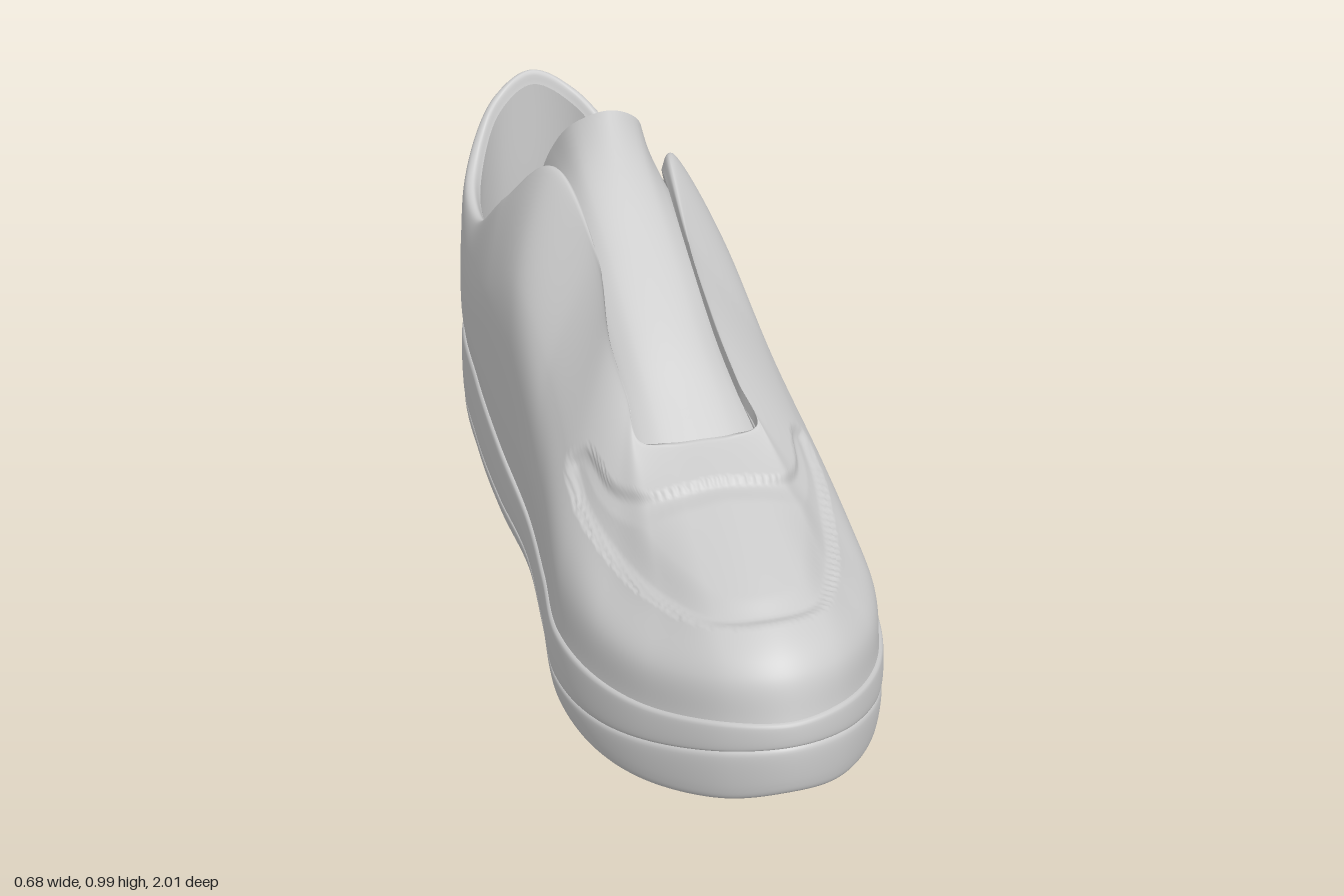
import * as THREE from 'three';

const V3 = THREE.Vector3;
const material = new THREE.MeshStandardMaterial({ color: 0xcccccc, side: THREE.DoubleSide });

// Each row is a ring of stations from heel to toe: [x on right side, x on left side, y, z].
const outlinePlan = [
  [-0.06, -0.06, -1.0], [-0.205, 0.085, -0.94], [-0.292, 0.192, -0.76], [-0.312, 0.235, -0.5],
  [-0.31, 0.268, -0.25], [-0.296, 0.285, 0], [-0.314, 0.315, 0.25], [-0.335, 0.335, 0.47],
  [-0.304, 0.306, 0.66], [-0.232, 0.236, 0.82], [-0.112, 0.115, 0.957], [0, 0, 1.0],
];
const bottomY = [0.05, 0.04, 0.03, 0.02, 0.012, 0.01, 0.004, 0.004, 0.015, 0.042, 0.085, 0.11];
const grooveY = [0.125, 0.12, 0.105, 0.085, 0.075, 0.07, 0.065, 0.078, 0.112, 0.16, 0.215, 0.235];
const topY = [0.3, 0.3, 0.285, 0.26, 0.22, 0.175, 0.18, 0.194, 0.213, 0.24, 0.28, 0.29];

const lowerRow = [
  [-0.06, -0.06, 0.35, -0.997], [-0.203, 0.085, 0.352, -0.939], [-0.291, 0.19, 0.35, -0.757],
  [-0.315, 0.232, 0.36, -0.5], [-0.311, 0.263, 0.37, -0.27], [-0.3, 0.278, 0.36, -0.05],
  [-0.302, 0.306, 0.36, 0.2], [-0.313, 0.315, 0.31, 0.45], [-0.286, 0.288, 0.313, 0.64],
  [-0.222, 0.224, 0.33, 0.795], [-0.108, 0.11, 0.365, 0.925], [0, 0, 0.375, 0.96],
];
const middleRow = [
  [-0.06, -0.06, 0.62, -0.981], [-0.185, 0.07, 0.6, -0.935], [-0.283, 0.175, 0.53, -0.76],
  [-0.31, 0.21, 0.53, -0.53], [-0.306, 0.238, 0.6, -0.3], [-0.278, 0.22, 0.68, -0.14],
  [-0.25, 0.232, 0.57, 0.08], [-0.255, 0.252, 0.455, 0.34], [-0.235, 0.235, 0.4, 0.54],
  [-0.185, 0.185, 0.4, 0.71], [-0.105, 0.105, 0.423, 0.835], [0, 0, 0.435, 0.875],
];
const rimRow = [
  [-0.06, -0.06, 0.855, -0.953], [-0.165, 0.05, 0.8, -0.922], [-0.262, 0.16, 0.663, -0.78],
  [-0.275, 0.178, 0.633, -0.59], [-0.24, 0.158, 0.785, -0.38], [-0.17, 0.112, 0.902, -0.25],
  [-0.122, 0.08, 0.8, 0], [-0.14, 0.089, 0.69, 0.18], [-0.131, 0.105, 0.617, 0.29],
  [-0.128, 0.122, 0.559, 0.37], [-0.07, 0.065, 0.551, 0.383], [0, 0, 0.552, 0.385],
];
const collarWeight = [0.55, 0.7, 1, 1, 0.95, 0.8, 0, 0, 0, 0, 0, 0];

const rowAt = (ys, dy = 0) => outlinePlan.map(([a, b, z], i) => [a, b, ys[i] + dy, z]);

// Draw a row toward the long axis of the shoe by d, and shift it in height.
function inset(row, d, dy = 0) {
  return row.map(([a, b, y, z], i) => {
    const di = Array.isArray(d) ? d[i] : d;
    const mid = (a + b) / 2, zc = z * 0.75;
    const f = Math.min(1, di / Math.hypot((b - a) / 2, z - zc));
    return [a + (mid - a) * f, b + (mid - b) * f, y + dy, z + (zc - z) * f];
  });
}

// Turn a row into a closed ring: heel, left side, toe, right side.
function ring(row) {
  const left = row.map(([, b, y, z]) => new V3(b, y, z));
  const right = row.slice(1, -1).reverse().map(([a, , y, z]) => new V3(a, y, z));
  return [...left, ...right];
}

// Smooth surface through a list of curves.
function loft(rows, closed, nU, nV) {
  const curves = rows.map((pts) => new THREE.CatmullRomCurve3(pts, closed));
  const columns = closed ? nU : nU + 1, pos = [], index = [];
  for (let u = 0; u < columns; u++) {
    const across = new THREE.CatmullRomCurve3(curves.map((c) => c.getPoint(u / nU)));
    for (const p of across.getSpacedPoints(nV)) pos.push(p.x, p.y, p.z);
  }
  for (let u = 0; u < nU; u++) {
    for (let v = 0; v < nV; v++) {
      const a = u * (nV + 1) + v, b = ((u + 1) % columns) * (nV + 1) + v;
      index.push(a, a + 1, b + 1, a, b + 1, b);
    }
  }
  const g = new THREE.BufferGeometry();
  g.setAttribute('position', new THREE.Float32BufferAttribute(pos, 3));
  g.setIndex(index);
  g.computeVertexNormals();
  return g;
}

// Flat sheet spanning a row from its right side to its left side.
function plate(row) {
  const pts = new THREE.CatmullRomCurve3(ring(row), true).getPoints(220);
  return loft([pts.slice(110).reverse(), pts.slice(0, 111)], false, 110, 6);
}

// Sink the toe panel below the surrounding overlay, deepest along its seam.
function sinkToePanel(g) {
  const half = [[0.11, 0.838], [0.19, 0.7], [0.24, 0.53], [0.268, 0.36], [0.258, 0.275],
    [0.22, 0.3], [0.195, 0.4], [0.17, 0.45], [0.135, 0.485]];
  const pts = [[0, 0.876], ...half, [0, 0.492], ...half.map(([x, z]) => [-x, z]).reverse()];
  const edge = new THREE.CatmullRomCurve3(pts.map(([x, z]) => new V3(x, 0, z)), true).getPoints(160);
  const pos = g.attributes.position, nor = g.attributes.normal;
  const step = THREE.MathUtils.smoothstep;
  for (let i = 0; i < pos.count; i++) {
    const x = pos.getX(i), y = pos.getY(i), z = pos.getZ(i);
    if (z < 0.25 || y < 0.33) continue;
    let inside = false, dist = Infinity;
    for (let j = 0; j < edge.length - 1; j++) {
      const p = edge[j], q = edge[j + 1];
      if (p.z > z !== q.z > z && x < p.x + ((z - p.z) / (q.z - p.z)) * (q.x - p.x)) inside = !inside;
      dist = Math.min(dist, Math.hypot(p.x - x, p.z - z));
    }
    if (!inside) continue;
    const depth = 0.013 * step(dist, 0, 0.02) - 0.006 * step(dist, 0.02, 0.07);
    pos.setXYZ(i, x - nor.getX(i) * depth, y - nor.getY(i) * depth, z - nor.getZ(i) * depth);
  }
  g.computeVertexNormals();
  return g;
}

export function createModel() {
  const shoe = new THREE.Group();
  shoe.name = 'shoe';
  const add = (name, geometry) => {
    const mesh = new THREE.Mesh(geometry, material);
    mesh.name = name;
    shoe.add(mesh);
  };
  const shell = (rows, nU, nV) => loft(rows.map(ring), true, nU, nV);

  // Outsole: flat tread, rounded edge, wall up to the groove
  const bottom = rowAt(bottomY);
  const tread = inset(bottom, 0.045);
  add('tread', plate(tread));
  add('outsole', shell([tread, inset(bottom, 0.03, 0.001), inset(bottom, 0.009, 0.014),
    inset(bottom, 0.001, 0.04), rowAt(grooveY, -0.003), inset(rowAt(grooveY), 0.006, 0.001)], 264, 32));

  // Midsole: wall from the groove to a softened top lip
  const top = rowAt(topY);
  add('midsole', shell([inset(rowAt(grooveY), 0.006), rowAt(grooveY, 0.004),
    rowAt(topY, -0.008), inset(top, 0.003, -0.001), inset(top, 0.03, 0.002)], 264, 26));

  // Upper: walls, toe box and rolled collar, open along the throat
  const collarInner = inset(rimRow, collarWeight.map((w) => 0.038 * w), -0.03);
  add('upper', sinkToePanel(shell([inset(top, 0.008, -0.005), lowerRow, middleRow, rimRow,
    inset(rimRow, collarWeight.map((w) => 0.02 * w), 0.002), collarInner], 396, 110)));

  // Lining and insole inside the shoe
  const floor = inset(top, 0.06, 0.05);
  add('lining', shell([collarInner, inset(middleRow, 0.05, -0.045), floor], 198, 14));
  add('insole', plate(floor));

  // Tongue: arched sections [x, y, z, half width, drop at edges, sweep back at edges]
  const sections = [
    [-0.005, 0.51, 0.43, 0.14, 0.04, 0], [-0.01, 0.6, 0.3, 0.138, 0.055, 0],
    [-0.02, 0.685, 0.18, 0.132, 0.07, 0], [-0.025, 0.8, 0, 0.13, 0.07, 0],
    [-0.03, 0.91, -0.18, 0.135, 0.1, 0.04], [-0.015, 0.988, -0.33, 0.145, 0.27, 0.13],
  ];
  add('tongue', loft(sections.map(([x, y, z, w, drop, back]) =>
    [-1, -0.9, -0.75, -0.5, 0, 0.5, 0.75, 0.9, 1].map((s) => {
      const k = Math.abs(s) ** 2.8;
      return new V3(x + s * w, y - drop * k, z - back * Math.sin(2 * k));
    })), false, 40, 40));

  return shoe;
}
